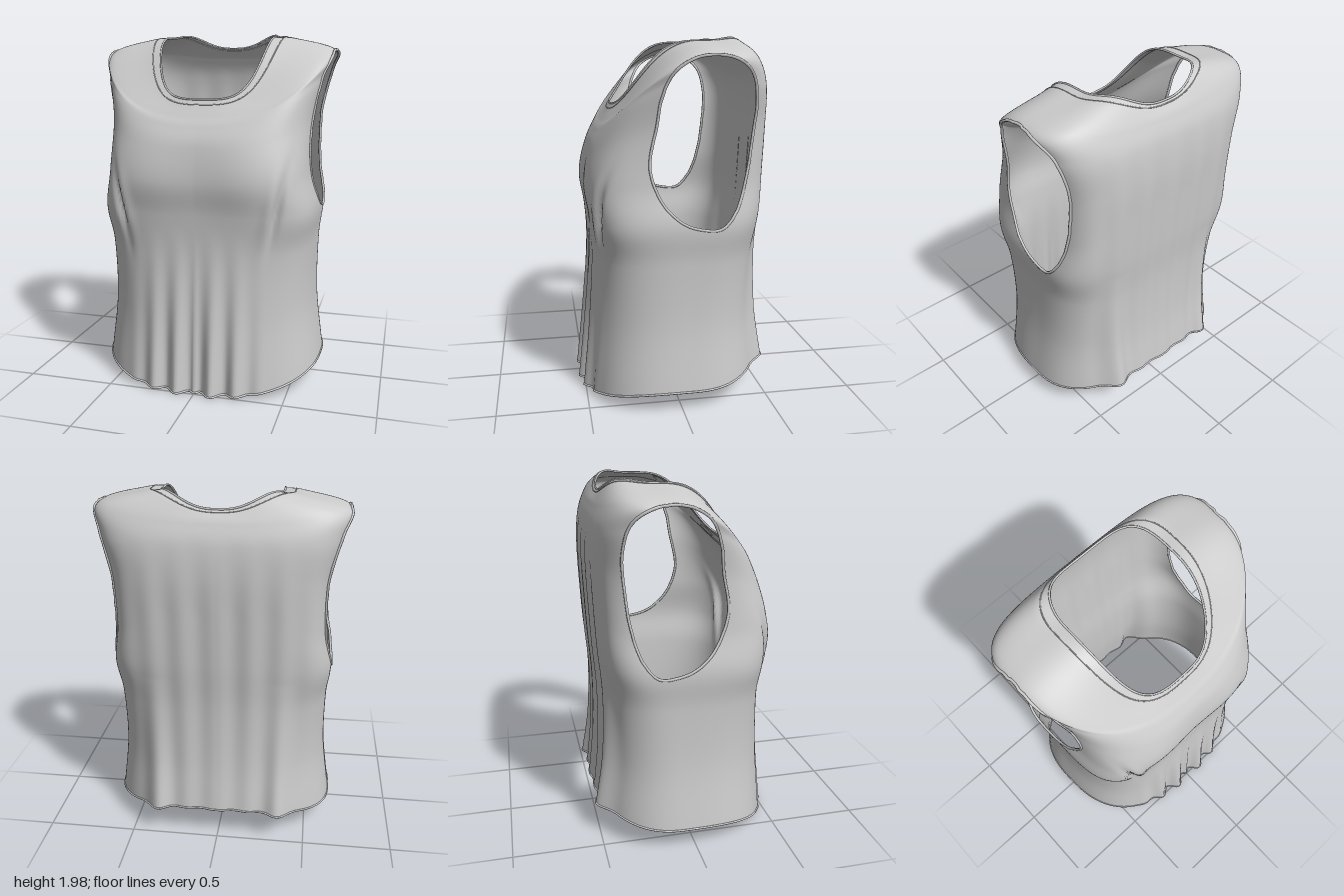
import * as THREE from 'three';

const AROUND = 280, UP = 130;
const material = new THREE.MeshStandardMaterial({ color: 0xcccccc, side: THREE.DoubleSide });

// Rings from hem to neckline:
// halfWidth, zFront, zBack, zSide, yFront, ySide, yBack, frontSquareness, backSquareness, shoulderLift
const RINGS = [
  0.64, 0.505, -0.505, -0.05, 0.02, 0.13, 0.205, 2.7, 2.5, 0,
  0.598, 0.475, -0.475, -0.06, 0.45, 0.48, 0.50, 2.8, 2.6, 0,
  0.595, 0.452, -0.468, -0.08, 0.80, 0.82, 0.83, 3.4, 3.0, 0,
  0.612, 0.455, -0.485, -0.10, 1.02, 1.03, 1.10, 4.4, 3.7, 0,
  0.58, 0.472, -0.497, -0.10, 1.20, 1.25, 1.35, 4.4, 4.2, 0,
  0.59, 0.447, -0.505, -0.10, 1.39, 1.53, 1.58, 3.2, 4.2, 0,
  0.648, 0.405, -0.492, -0.12, 1.49, 1.78, 1.75, 2.5, 3.9, 0,
  0.66, 0.368, -0.458, -0.15, 1.545, 1.905, 1.85, 2.4, 3.0, 0.02,
  0.43, 0.338, -0.432, -0.17, 1.59, 1.97, 1.895, 2.7, 2.5, 0.035,
  0.32, 0.31, -0.41, -0.14, 1.635, 1.975, 1.92, 3.0, 2.6, 0.04,
];
const ringAt = new THREE.CubicInterpolant([0, 1, 2, 3, 4, 5, 6, 7, 8, 9], RINGS, 10, new Float32Array(10));

// Armhole outline in the side plane (z, y), stored as radius by angle
const HOLE_CENTRE = [-0.1, 1.45];
const holeAngle = (z, y) => Math.atan2(y - HOLE_CENTRE[1], z - HOLE_CENTRE[0]);
const holeOutline = new THREE.CatmullRomCurve3([
  [0.0, 1.055], [0.1, 1.15], [0.17, 1.33], [0.135, 1.57], [0.115, 1.7], [0.06, 1.82], [-0.03, 1.885], [-0.14, 1.905],
  [-0.25, 1.885], [-0.335, 1.82], [-0.375, 1.68], [-0.365, 1.5], [-0.335, 1.28], [-0.28, 1.11], [-0.2, 1.02], [-0.1, 1.02],
].map(([z, y]) => new THREE.Vector3(z, y, 0)), true).getPoints(600).map((p) => ({
  angle: holeAngle(p.x, p.y),
  radius: Math.hypot(p.x - HOLE_CENTRE[0], p.y - HOLE_CENTRE[1]),
}));
function holeRadius(angle) {
  let best = holeOutline[0];
  for (const o of holeOutline) if (Math.abs(o.angle - angle) < Math.abs(best.angle - angle)) best = o;
  return best.radius;
}

const bell = (d, width) => Math.exp(-((d / width) ** 2));

// Cloth folds: hem ripples, back drape, bust fullness and dart creases
function addFolds(p, front) {
  const x = Math.abs(p.x);
  if (front) {
    const fade = Math.max(0, 1 - p.y / 0.95) ** 1.3;
    p.z += 0.03 * fade * Math.cos((x - 0.1) * Math.PI * 2 / 0.14) * Math.exp(-((x / 0.32) ** 4));
    p.z += 0.014 * bell(x - 0.25, 0.18) * bell(p.y - 1.22, 0.2);
    const crease = x - (0.4 + (p.y - 0.85) * 0.2);
    const along = bell(p.y - 1.06, 0.17);
    const push = along * (0.01 * bell(crease + 0.045, 0.03) - 0.025 * bell(crease, 0.02));
    p.z += push;
    p.x += Math.sign(p.x) * push * 0.5;
  } else {
    // One deep fold each side at the hem, shallow ripples above
    const fade = Math.max(0, 1 - p.y / 1.0);
    const top = Math.min(1, Math.max(0, (1.8 - p.y) / 0.4));
    p.z -= 0.06 * fade * bell(x - 0.35, 0.07);
    p.z -= 0.006 * top * Math.cos((x - 0.35) * Math.PI * 2 / 0.17) * Math.exp(-((x / 0.48) ** 6));
  }
}

// Point on the cloth: t runs up the rings, angle runs from the front centre towards +x
function clothPoint(t, angle) {
  const [w, zf, zb, zs, yf, ys, yb, nf, nb, lift] = ringAt.evaluate(t);
  const s = Math.sin(angle), c = Math.cos(angle), front = c >= 0;
  const n = front ? nf : nb;
  const r = (Math.abs(s) ** n + Math.abs(c) ** n) ** (-1 / n);
  const side = Math.abs(s * r) ** n;
  const z = zs + ((front ? zf : zb) - zs) * Math.abs(c * r);
  // The shoulder rises behind the side line and dips in front of it
  const yEnd = front ? yf : yb;
  const y = yEnd + (ys - yEnd) * side + lift * (front ? -6 : 4) * side * (1 - side);
  const p = new THREE.Vector3(w * s * r, y, z);
  addFolds(p, front);
  return p;
}

function edgeTube(name, points, radius) {
  const curve = new THREE.CatmullRomCurve3(points, true);
  const mesh = new THREE.Mesh(new THREE.TubeGeometry(curve, 240, radius, 6, true), material);
  mesh.name = name;
  return mesh;
}

export function createModel() {
  const group = new THREE.Group();
  group.name = 'sleevelessTop';

  const points = [], inside = [];
  for (let j = 0; j <= UP; j++) {
    for (let i = 0; i < AROUND; i++) {
      const p = clothPoint(9 * j / UP, Math.PI * 2 * i / AROUND);
      const d = Math.hypot(p.z - HOLE_CENTRE[0], p.y - HOLE_CENTRE[1]);
      points.push(p);
      inside.push(Math.abs(p.x) > 0.42 && d < holeRadius(holeAngle(p.z, p.y)));
    }
  }

  // Cloth faces, leaving out the armholes
  const index = [], rim = new Set();
  for (let j = 0; j < UP; j++) {
    for (let i = 0; i < AROUND; i++) {
      const k = (i + 1) % AROUND;
      const a = j * AROUND + i, b = j * AROUND + k, c = b + AROUND, d = a + AROUND;
      const quad = [a, b, c, d];
      if (quad.every((v) => inside[v])) continue;
      quad.forEach((v) => inside[v] && rim.add(v));
      index.push(a, b, c, a, c, d);
    }
  }
  // Pull the rim vertices onto the armhole outline
  for (const v of rim) {
    const p = points[v], angle = holeAngle(p.z, p.y), r = holeRadius(angle);
    p.z = HOLE_CENTRE[0] + r * Math.cos(angle);
    p.y = HOLE_CENTRE[1] + r * Math.sin(angle);
  }
  const cloth = new THREE.BufferGeometry().setFromPoints(points);
  cloth.setIndex(index);
  cloth.computeVertexNormals();
  const body = new THREE.Mesh(cloth, material);
  body.name = 'body';
  group.add(body);

  // Rolled edges and the neckband seam
  const ringPoints = (t) => Array.from({ length: 140 }, (_, i) => clothPoint(t, Math.PI * 2 * i / 140));
  group.add(edgeTube('hemEdge', ringPoints(0), 0.006));
  group.add(edgeTube('necklineEdge', ringPoints(9), 0.006));
  group.add(edgeTube('neckbandSeam', ringPoints(8.4), 0.003));
  for (const [name, sign] of [['leftArmholeEdge', 1], ['rightArmholeEdge', -1]]) {
    const edge = [...rim].map((v) => points[v]).filter((p) => p.x * sign > 0)
      .sort((p, q) => holeAngle(p.z, p.y) - holeAngle(q.z, q.y))
      .filter((_, i) => i % 3 === 0);
    group.add(edgeTube(name, edge, 0.008));
  }
  return group;
}
